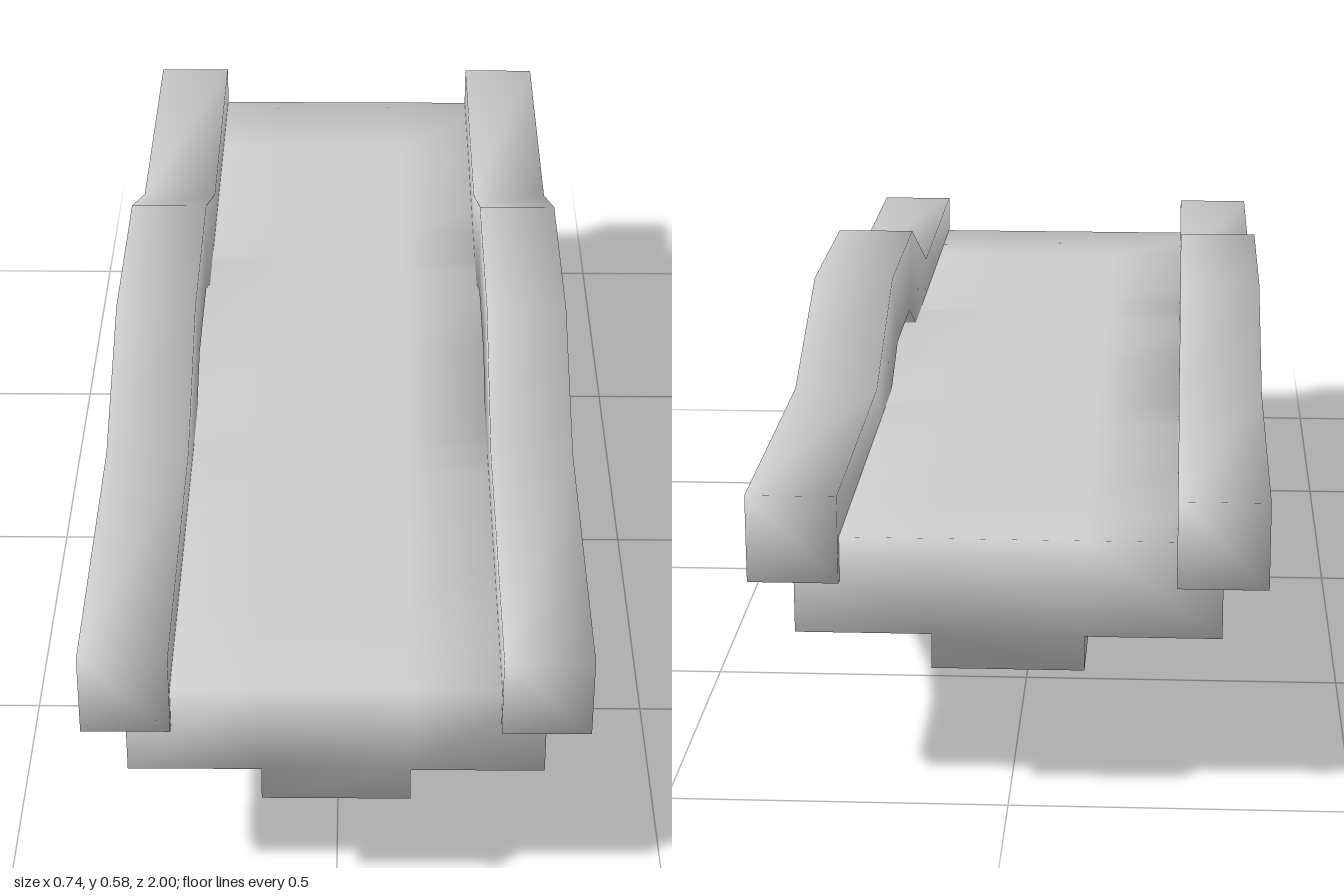
import * as THREE from 'three';

const material = new THREE.MeshStandardMaterial({ color: 0xcccccc });

// Skin between cross-sections listed front to back, with shared vertices for soft shading.
function loft(name, sections, capQuads = []) {
  const n = sections[0].length, last = (sections.length - 1) * n;
  const index = [];
  for (let i = 0; i < sections.length - 1; i++) {
    for (let j = 0; j < n; j++) {
      const k = (j + 1) % n, a = i * n + j, b = i * n + k, c = b + n, d = a + n;
      index.push(a, b, c, a, c, d);
    }
  }
  for (const [a, b, c, d] of capQuads) {
    index.push(a, c, b, a, d, c);
    index.push(last + a, last + b, last + c, last + a, last + c, last + d);
  }
  const geometry = new THREE.BufferGeometry();
  geometry.setAttribute('position', new THREE.Float32BufferAttribute(sections.flat(2), 3));
  geometry.setIndex(index);
  geometry.computeVertexNormals();
  const mesh = new THREE.Mesh(geometry, material);
  mesh.name = name;
  return mesh;
}

// Repeats a front half profile towards the back.
const mirrored = (half) => [...half, ...half.slice().reverse().map(([z, ...r]) => [-z, ...r])];

// Deck with a narrower keel stepped down beneath it.
function bridgeDeck() {
  const top = 0.405, W = 0.307, K = 0.11;
  // z, underside of the deck, underside of the keel
  const stations = mirrored([
    [0.985, 0.26, 0.21], [0.78, 0.25, 0.2], [0.58, 0.222, 0.172], [0.41, 0.17, 0.125],
    [0.33, 0.13, 0.08], [0.28, 0.056, 0.016],
  ]);
  stations.splice(6, 0, [0, 0.056, 0.002]);
  const sections = stations.map(([z, s, k]) => {
    const kz = Math.abs(z) > 0.9 ? Math.sign(z) * 0.99 : z * 1.04;
    return [
      [W, top, z], [W, s, z], [K, s, z], [K, k, kz], [-K, k, kz],
      [-K, s, z], [-W, s, z], [-W, top, z], [-K, top, z], [K, top, z],
    ];
  });
  return loft('deck', sections, [[0, 1, 2, 9], [9, 2, 5, 8], [2, 3, 4, 5], [8, 5, 6, 7]]);
}

// Square handrail, raised in the middle.
function rail(name, x) {
  const h = 0.0655;
  // z of the upper edge, z of the lower edge, upper y, lower y
  const sections = mirrored([[1, 1, 0.47, 0.34], [0.45, 0.36, 0.47, 0.34], [0.18, 0.11, 0.586, 0.458]])
    .map(([zt, zb, t, b], i) => {
      const back = i > 2 ? -1 : 1;
      const lower = back * zb;
      return [[x + h, t, zt], [x + h, b, lower], [x - h, b, lower], [x - h, t, zt]];
    });
  // Ends close onto a centre point
  const end = (z) => Array.from({ length: 4 }, () => [x, 0.405, z]);
  return loft(name, [end(1), ...sections, end(-1)]);
}

export function createModel() {
  const group = new THREE.Group();
  group.name = 'bridge';
  group.add(bridgeDeck(), rail('leftRail', 0.3065), rail('rightRail', -0.3065));
  return group;
}
